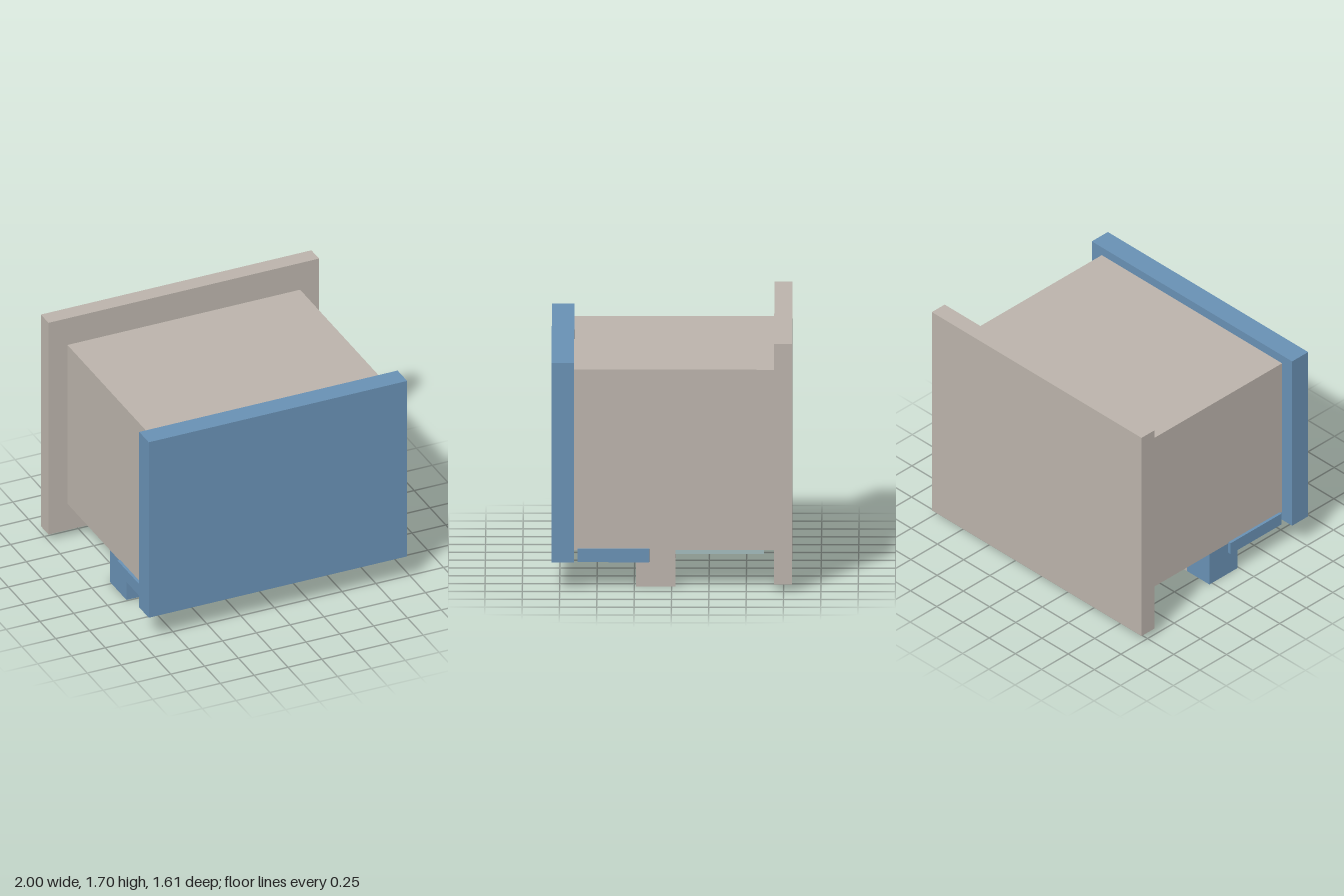
import * as THREE from 'three';

export function createModel() {
  const model = new THREE.Group();
  const material = (name, color) => {
    const m = new THREE.MeshStandardMaterial({ color });
    m.name = name;
    return m;
  };
  const stone = material('warm grey', 0xbab2aa);
  const blue = material('steel blue', 0x6890b3);
  const teal = material('pale teal', 0xa2babb);
  const brown = material('brown', 0x987550);

  // Box given by its extents along each axis
  const block = (name, mat, [x0, x1], [y0, y1], [z0, z1]) => {
    const mesh = new THREE.Mesh(new THREE.BoxGeometry(x1 - x0, y1 - y0, z1 - z0), mat);
    mesh.name = name;
    mesh.position.set((x0 + x1) / 2, (y0 + y1) / 2, (z0 + z1) / 2);
    model.add(mesh);
  };

  // Main block between the two end panels
  block('body', stone, [-0.86, 0.86], [0.255, 1.49], [-0.685, 0.655]);
  block('backPanel', stone, [-1, 1], [0.05, 1.697], [-0.806, -0.685]);
  block('frontPanel', blue, [-0.955, 0.955], [0.19, 1.555], [0.655, 0.806]);

  // Tray under the front of the body
  block('tray', blue, [-0.88, 0.88], [0.175, 0.265], [0.15, 0.63]);

  // Row of alternating feet
  const width = 0.2125;
  for (let i = 0; i < 8; i++) {
    const x = -0.855 + i * width;
    block('foot' + (i + 1), i % 2 ? stone : blue, [x, x + width], [0, 0.255], [-0.025, 0.24]);
  }

  // Plates under the rear of the body
  block('leftPlate', teal, [0.33, 0.83], [0.22, 0.255], [-0.617, -0.025]);
  block('rightPlate', teal, [-0.7, -0.2], [0.22, 0.255], [-0.617, -0.025]);
  block('middlePlank', brown, [-0.09, 0.245], [0.165, 0.205], [-0.685, -0.1]);

  return model;
}
